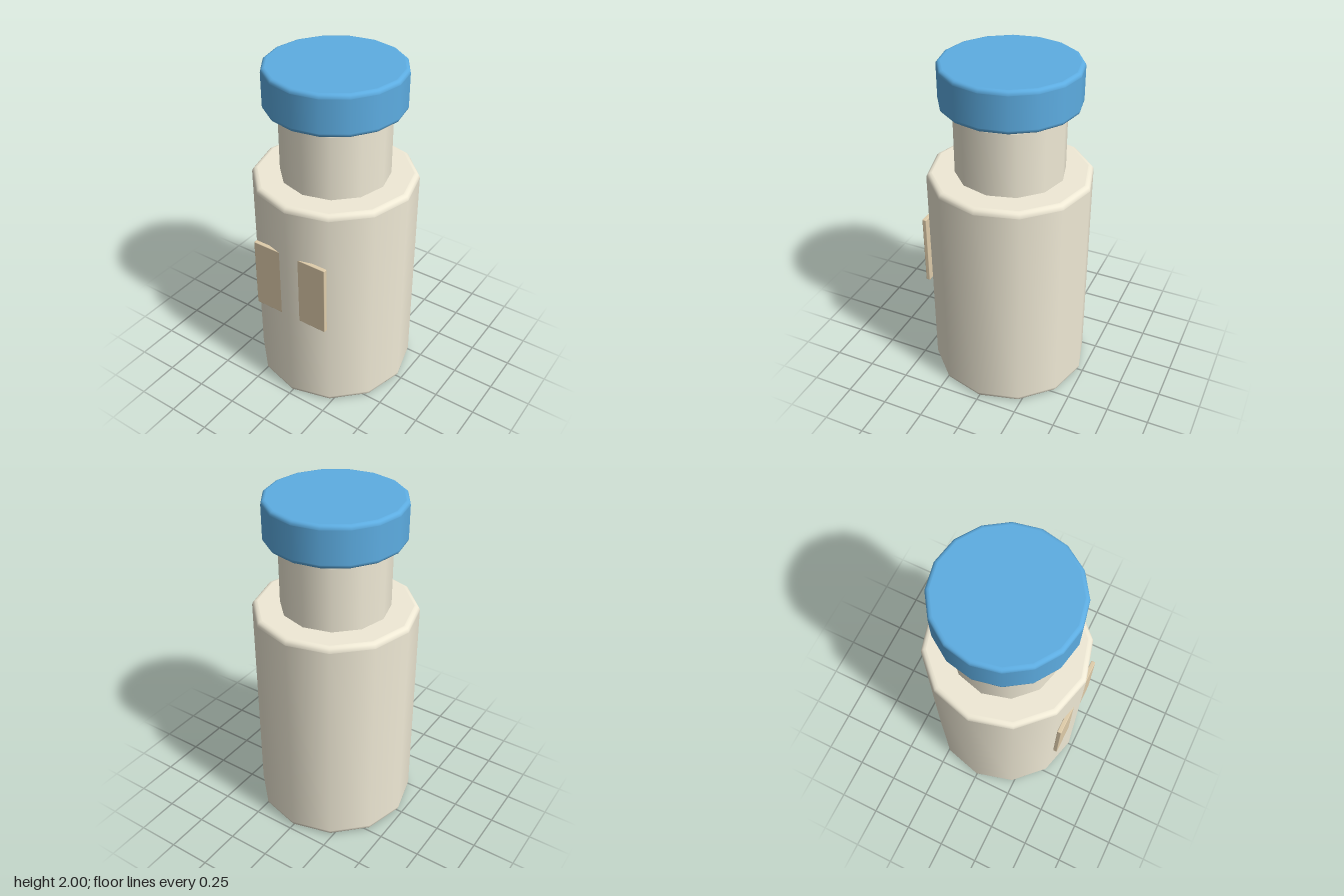
import * as THREE from 'three';
import { RoundedBoxGeometry } from 'three/addons/geometries/RoundedBoxGeometry.js';

// Closed prism-like solid with softly rounded rims, standing from y0 to y1
function roundedDrum(name, radius, y0, y1, bevel, sides, color) {
  const profile = [];
  const add = (x, y) => profile.push(new THREE.Vector2(x, y));
  const steps = 4, e = 0.002;
  add(0, y0);
  add(radius - bevel - e, y0);
  for (let i = 0; i <= steps; i++) {
    const a = (i / steps) * Math.PI / 2;
    add(radius - bevel + bevel * Math.sin(a), y0 + bevel - bevel * Math.cos(a));
  }
  add(radius, y0 + bevel + e);
  add(radius, y1 - bevel - e);
  for (let i = 0; i <= steps; i++) {
    const a = (i / steps) * Math.PI / 2;
    add(radius - bevel + bevel * Math.cos(a), y1 - bevel + bevel * Math.sin(a));
  }
  add(radius - bevel - e, y1);
  add(0, y1);
  const mesh = new THREE.Mesh(
    new THREE.LatheGeometry(profile, sides),
    new THREE.MeshStandardMaterial({ color })
  );
  mesh.name = name;
  return mesh;
}

export function createModel() {
  const group = new THREE.Group();
  group.name = 'bottle';
  const cream = 0xf0ead6;

  // Twelve-sided body and neck, sixteen-sided cap floating just above
  group.add(roundedDrum('body', 0.475, 0, 1.355, 0.03, 12, cream));
  group.add(roundedDrum('neck', 0.315, 1.32, 1.75, 0.02, 12, cream));
  group.add(roundedDrum('cap', 0.393, 1.765, 2, 0.022, 16, 0x5dade2));

  // Flat label plate, partly sunk into the front corner of the body
  const label = new THREE.Mesh(
    new RoundedBoxGeometry(0.48, 0.435, 0.025, 2, 0.004),
    new THREE.MeshStandardMaterial({ color: 0xe0cdab })
  );
  label.name = 'label';
  label.position.set(0, 0.8125, 0.4455);
  group.add(label);

  return group;
}
